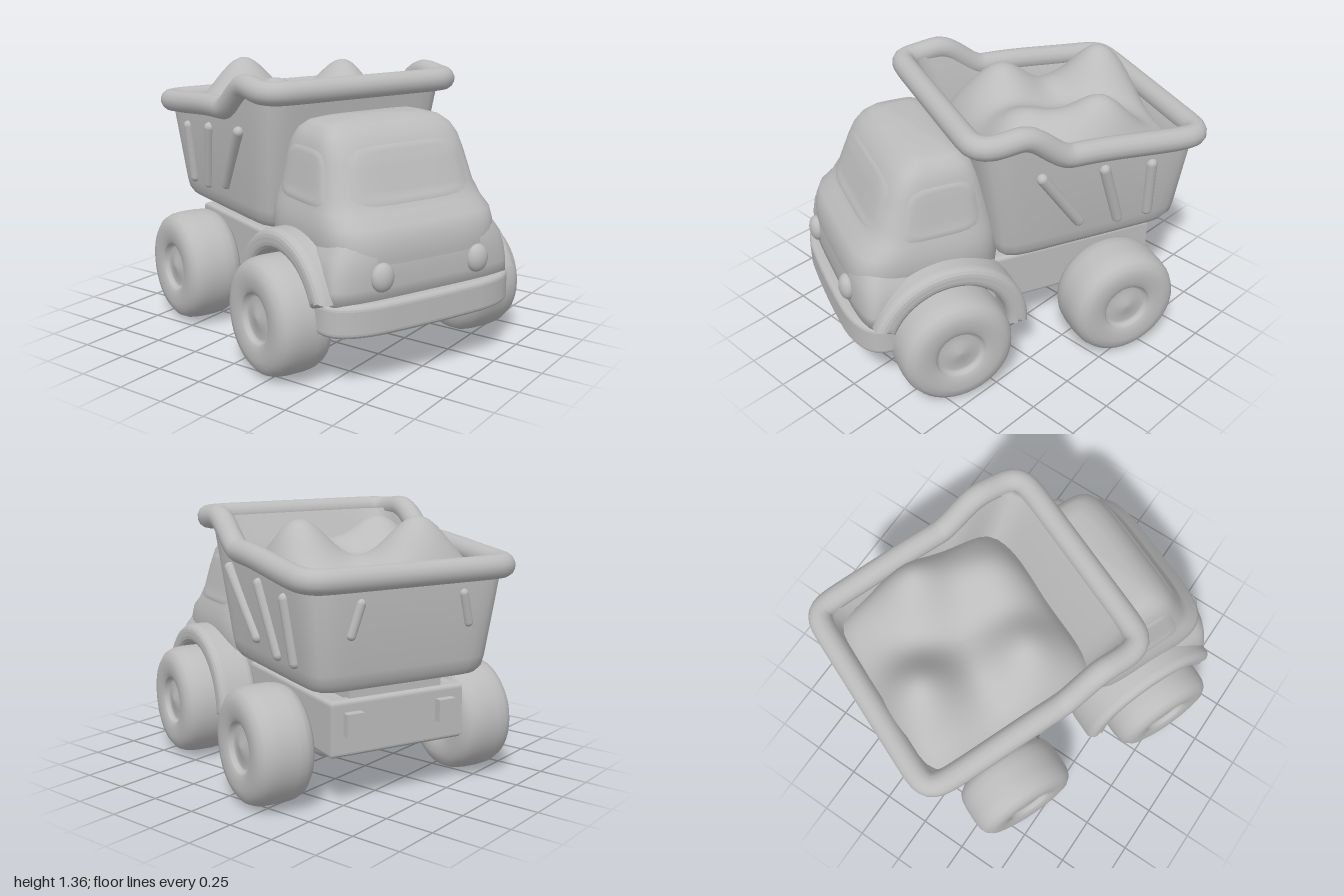
import * as THREE from 'three';

const grey = new THREE.MeshStandardMaterial({ color: 0xbcbcbc });
grey.name = 'plain grey';
grey.side = THREE.DoubleSide;

function add(parent, name, geo, x = 0, y = 0, z = 0) {
  const m = new THREE.Mesh(geo, grey);
  m.name = name;
  m.position.set(x, y, z);
  parent.add(m);
  return m;
}

// Horizontal rounded rectangle from x0 to x1, half width hw; y may depend on x
function ring(x0, x1, hw, y, n, count = 80) {
  const c = (x0 + x1) / 2, a = (x1 - x0) / 2, pts = [];
  for (let i = 0; i < count; i++) {
    const t = (i / count) * Math.PI * 2, co = Math.cos(t), si = Math.sin(t);
    const r = 1 / Math.pow(Math.abs(co) ** n + Math.abs(si) ** n, 1 / n);
    const x = c + a * r * co;
    pts.push(new THREE.Vector3(x, typeof y === 'function' ? y(x) : y, hw * r * si));
  }
  return pts;
}

// Skin over stacked rings
function loft(rings) {
  const n = rings[0].length, pos = [], idx = [];
  rings.forEach(r => r.forEach(p => pos.push(p.x, p.y, p.z)));
  for (let i = 0; i < rings.length - 1; i++) {
    for (let j = 0; j < n; j++) {
      const k = (j + 1) % n, a = i * n + j, b = i * n + k, c = a + n, d = b + n;
      idx.push(a, c, b, b, c, d);
    }
  }
  const g = new THREE.BufferGeometry();
  g.setAttribute('position', new THREE.Float32BufferAttribute(pos, 3));
  g.setIndex(idx);
  g.computeVertexNormals();
  return g;
}

function rod(parent, name, a, b, radius) {
  const d = b.clone().sub(a);
  const m = add(parent, name, new THREE.CapsuleGeometry(radius, d.length(), 6, 12));
  m.position.copy(a).add(b).multiplyScalar(0.5);
  m.quaternion.setFromUnitVectors(new THREE.Vector3(0, 1, 0), d.normalize());
}

function slab(shape, depth, bevel) {
  return new THREE.ExtrudeGeometry(shape, {
    depth: depth - 2 * bevel, bevelEnabled: true, bevelThickness: bevel, bevelSize: bevel,
    bevelOffset: -bevel, bevelSegments: 4, curveSegments: 32 }).translate(0, 0, bevel);
}

// Cab cross-sections: height, rear, front, half width
const CAB = [[0.3, 0.13, 0.84, 0.38], [0.44, 0.12, 0.87, 0.41], [0.6, 0.12, 0.885, 0.46],
  [0.68, 0.125, 0.875, 0.465], [0.74, 0.13, 0.85, 0.46], [0.79, 0.14, 0.79, 0.445],
  [0.86, 0.15, 0.745, 0.425], [1.0, 0.18, 0.69, 0.4], [1.07, 0.21, 0.655, 0.385],
  [1.12, 0.24, 0.615, 0.36], [1.155, 0.285, 0.565, 0.32], [1.172, 0.34, 0.51, 0.25],
  [1.178, 0.43, 0.43, 0]];
const CAB_N = 5;

function cabAt(y) {
  let i = 0;
  while (i < CAB.length - 2 && CAB[i + 1][0] < y) i++;
  const t = (y - CAB[i][0]) / (CAB[i + 1][0] - CAB[i][0]);
  return CAB[i].map((v, k) => v + (CAB[i + 1][k] - v) * t);
}

// Thin rounded pane lying on the cab surface
function pane(place) {
  const rings = [];
  for (let k = 0; k <= 8; k++) {
    rings.push(ring(-k / 8, k / 8, k / 8, 0, 5, 40).map(p => place(p.x, p.z, k === 8 ? -0.004 : 0.005)));
  }
  return loft(rings);
}

function buildCab(truck) {
  const cab = new THREE.Group();
  cab.name = 'cab';
  truck.add(cab);
  // Body with a hollow underside
  add(cab, 'cabBody', loft([
    ring(0.5, 0.5, 0, 0.47, CAB_N), ring(0.18, 0.8, 0.34, 0.47, CAB_N), ring(0.18, 0.8, 0.34, 0.3, CAB_N),
    ...CAB.map(([y, x0, x1, hw]) => ring(x0, x1, hw, y, CAB_N))]));

  // Broad nose joining the hood to the wheel arches
  add(cab, 'nose', loft([ring(0.78, 0.78, 0, 0.4, 4), ring(0.7, 0.88, 0.505, 0.4, 4), ring(0.66, 0.885, 0.505, 0.48, 4),
    ring(0.6, 0.885, 0.5, 0.55, 4), ring(0.56, 0.88, 0.48, 0.62, 4), ring(0.54, 0.86, 0.44, 0.68, 4)]));

  add(cab, 'windshield', pane((p, q, out) => {
    const y = 0.945 + q * 0.135, [, x0, x1, hw] = cabAt(y), w = p * 0.85;
    return new THREE.Vector3((x0 + x1) / 2 + (x1 - x0) / 2 * (1 - Math.abs(w) ** CAB_N) ** (1 / CAB_N) + out, y, w * hw);
  }));
  for (const s of [-1, 1]) {
    add(cab, 'sideWindow', pane((p, q, out) => {
      const y = 0.93 + q * 0.13, [, x0, x1, hw] = cabAt(y), u = p * 0.68;
      const w = hw * (1 - Math.abs(u) ** CAB_N) ** (1 / CAB_N) + out;
      return new THREE.Vector3((x0 + x1) / 2 + (x1 - x0) / 2 * u, y, s * w);
    }));
    add(cab, 'headlight', new THREE.SphereGeometry(1, 24, 16).scale(0.04, 0.068, 0.058), 0.885, 0.53, s * 0.27);

    // Wheel arch
    const arch = new THREE.Shape();
    arch.absarc(0, 0, 0.405, 0.38, Math.PI + 0.05, false);
    arch.absarc(0, 0, 0.3, Math.PI + 0.05, 0.38, true);
    add(cab, 'fender', slab(arch, 0.21, 0.04), 0.46, 0.28, s > 0 ? 0.36 : -0.57);
  }

  // Wrap-round bumper
  const b = new THREE.Shape();
  b.moveTo(0.71, -0.53);
  b.lineTo(0.75, -0.53);
  b.bezierCurveTo(0.86, -0.53, 0.91, -0.44, 0.925, -0.28);
  b.bezierCurveTo(0.935, -0.1, 0.935, 0.1, 0.925, 0.28);
  b.bezierCurveTo(0.91, 0.44, 0.86, 0.53, 0.75, 0.53);
  b.lineTo(0.71, 0.53);
  b.closePath();
  add(cab, 'bumper', slab(b, 0.155, 0.025).rotateX(Math.PI / 2), 0, 0.425, 0);
}

const rimY = x => 1.11 + 0.05 * THREE.MathUtils.smoothstep(x, -0.9, -0.15)
  + 0.14 * THREE.MathUtils.smoothstep(x, -0.16, 0.1) - 0.015 * THREE.MathUtils.smoothstep(x, 0.1, 0.25);

// Uneven heap made from four humps
const HUMPS = [[-0.4, -0.34, 0.25], [-0.65, 0.15, 0.27], [-0.14, 0.24, 0.22], [-0.05, -0.2, 0.17]];
function heapY(x, z) {
  let y = 1.07;
  for (const [hx, hz, h] of HUMPS) y += h * Math.exp(-((x - hx) ** 2 + (z - hz) ** 2) / 0.042);
  return y;
}

function buildBin(truck) {
  const bin = new THREE.Group();
  bin.name = 'dumpBin';
  bin.position.z = -0.015;
  truck.add(bin);
  const N = 11;
  add(bin, 'binShell', loft([
    ring(-0.3, -0.3, 0, 0.585, N), ring(-0.75, 0.11, 0.4, 0.585, N), ring(-0.79, 0.15, 0.44, 0.597, N),
    ring(-0.815, 0.17, 0.46, 0.63, N), ring(-0.825, 0.18, 0.47, 0.68, N),
    ring(-0.868, 0.29, 0.53, rimY, N), ring(-0.82, 0.26, 0.485, rimY, N), ring(-0.79, 0.12, 0.45, 0.95, N)]));
  const path = new THREE.CatmullRomCurve3(ring(-0.868, 0.32, 0.53, rimY, 13, 112), true);
  add(bin, 'binRim', new THREE.TubeGeometry(path, 200, 0.058, 14, true));

  const heap = [];
  for (let k = 0; k <= 22; k++) {
    const f = k / 22, drop = 0.08 * f ** 10;
    heap.push(ring(-0.355 - 0.475 * f, -0.355 + 0.475 * f, 0.48 * f, 0, 7)
      .map(p => p.setY(heapY(p.x, p.z) - drop)));
  }
  add(bin, 'load', loft(heap.reverse()));

  // Slanted ribs on the sides and the tail
  const wall = y => 0.47 + (y - 0.68) * 0.135;
  for (const s of [-1, 1]) {
    for (const [xt, yt, xb, yb] of [[-0.6, 1.0, -0.62, 0.71], [-0.34, 1.03, -0.45, 0.71], [-0.01, 1.06, -0.23, 0.75]]) {
      rod(bin, 'sideRib', new THREE.Vector3(xt, yt, s * wall(yt)), new THREE.Vector3(xb, yb, s * wall(yb)), 0.028);
    }
    rod(bin, 'tailRib', new THREE.Vector3(-0.857, 1.0, s * 0.27), new THREE.Vector3(-0.842, 0.86, s * 0.31), 0.022);
  }
}

function rect(Type, x0, x1, hw) {
  return new Type([[x0, -hw], [x1, -hw], [x1, hw], [x0, hw]].map(([x, y]) => new THREE.Vector2(x, y)));
}

function buildChassis(truck) {
  // Frame with a shallow recess underneath
  const frame = rect(THREE.Shape, -0.72, 0.2, 0.36);
  frame.holes.push(rect(THREE.Path, -0.65, 0.12, 0.3));
  add(truck, 'chassisFrame', slab(frame, 0.27, 0.02).rotateX(Math.PI / 2), 0, 0.53, 0);
  add(truck, 'chassisDeck', new THREE.BoxGeometry(0.82, 0.17, 0.66), -0.265, 0.435, 0);
  add(truck, 'binMount', new THREE.BoxGeometry(0.75, 0.1, 0.5), -0.32, 0.55, 0);
  for (const s of [-1, 1]) {
    add(truck, 'tailLight', new THREE.BoxGeometry(0.05, 0.11, 0.09), -0.735, 0.42, s * 0.25);
  }

  // Wheel profile: inner dish, tread, then hub face
  const profile = [[0, -0.07], [0.05, -0.085], [0.1, -0.125], [0.15, -0.147], [0.2, -0.15], [0.238, -0.14],
    [0.266, -0.118], [0.28, -0.085], [0.285, -0.04], [0.285, 0.04], [0.28, 0.085], [0.266, 0.118], [0.238, 0.14],
    [0.2, 0.148], [0.155, 0.144], [0.13, 0.136], [0.122, 0.13], [0.116, 0.112], [0.1, 0.108], [0.06, 0.112],
    [0.03, 0.122], [0, 0.126]];
  const tyre = new THREE.LatheGeometry(profile.map(([r, h]) => new THREE.Vector2(r, h)), 48);
  const stub = new THREE.CylinderGeometry(0.085, 0.045, 0.26, 20).rotateX(Math.PI / 2);
  for (const x of [-0.43, 0.468]) {
    for (const s of [-1, 1]) {
      add(truck, 'wheel', tyre, x, 0.285, s * 0.555).rotation.x = s * Math.PI / 2;
      add(truck, 'axleStub', stub, x, 0.27, s * 0.37).rotation.y = s > 0 ? 0 : Math.PI;
      add(truck, 'axleKnob', new THREE.SphereGeometry(0.085, 20, 14), x, 0.255, s * 0.23);
    }
  }
}

export function createModel() {
  const model = new THREE.Group();
  model.name = 'dumpTruck';
  const truck = new THREE.Group();
  truck.name = 'truck';
  buildChassis(truck);
  buildBin(truck);
  buildCab(truck);
  // The truck stands turned towards the front
  truck.rotation.y = -Math.PI / 8;
  truck.position.set(0.008, 0, -0.01);
  model.add(truck);
  return model;
}
